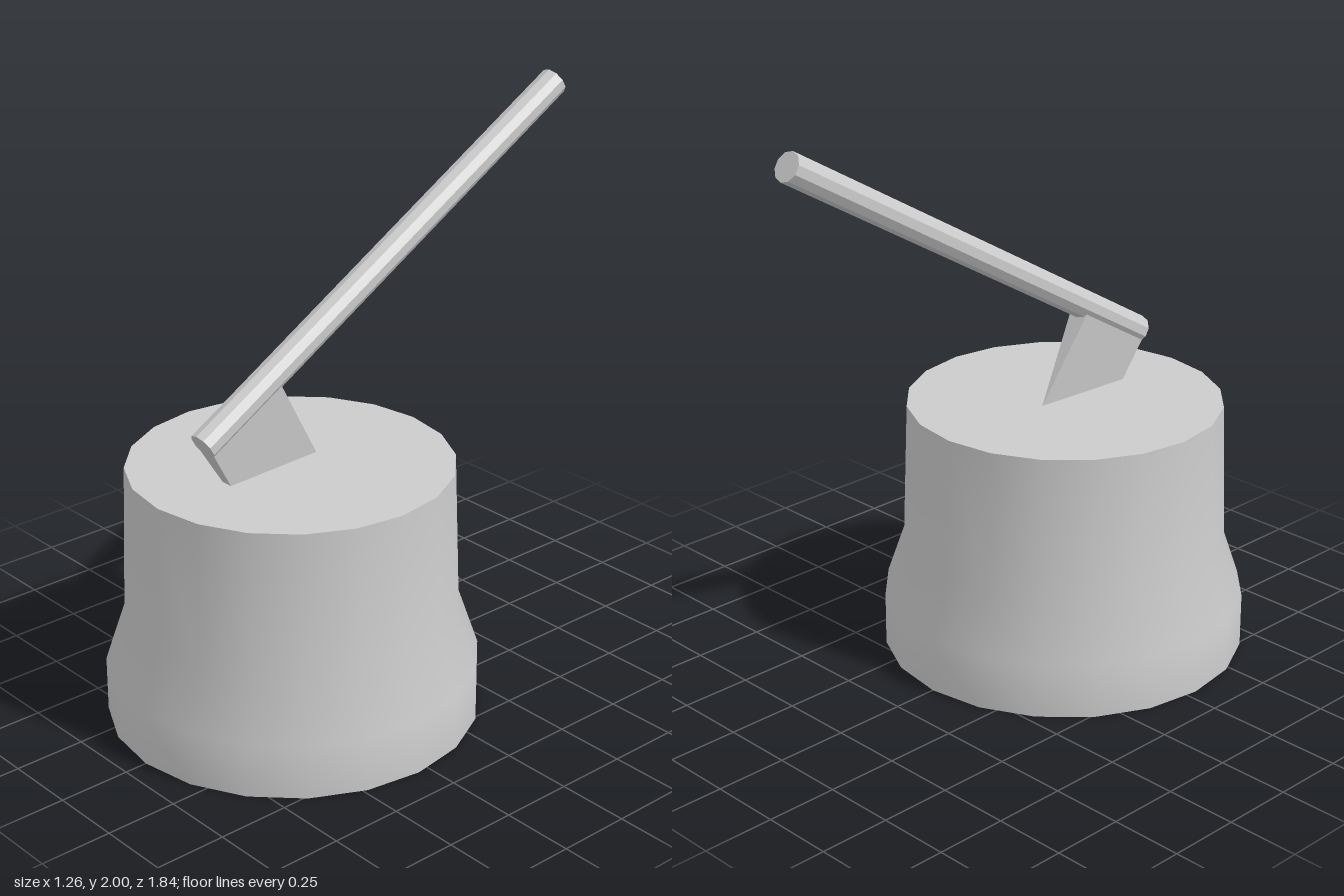
import * as THREE from 'three';

export function createModel() {
  const model = new THREE.Group();
  const smooth = new THREE.MeshStandardMaterial({ color: 0xcccccc, side: THREE.DoubleSide });
  const flat = new THREE.MeshStandardMaterial({ color: 0xcccccc, flatShading: true });

  const add = (parent, name, geometry, material) => {
    const mesh = new THREE.Mesh(geometry, material);
    mesh.name = name;
    parent.add(mesh);
    return mesh;
  };

  // Chopping block: flared, hollow shell with an open underside and a flat top
  const block = new THREE.Group();
  block.name = 'choppingBlock';
  block.position.z = 0.29;
  model.add(block);
  const profile = [[0.63, 0], [0.63, 0.19], [0.562, 0.39], [0.545, 0.893]]
    .map(([r, y]) => new THREE.Vector2(r, y));
  add(block, 'blockSide', new THREE.LatheGeometry(profile, 20), smooth);
  const top = new THREE.CircleGeometry(0.545, 20).rotateX(-Math.PI / 2);
  add(block, 'blockTop', top, smooth).position.y = 0.893;

  // Axe: local y runs up the handle, local -z points to the cutting edge
  const axe = new THREE.Group();
  axe.name = 'axe';
  axe.position.set(0, 1.05, 0.65);
  axe.rotation.x = THREE.MathUtils.degToRad(-59.6);
  model.add(axe);
  const length = 1.79;
  add(axe, 'axeHandle', new THREE.CylinderGeometry(0.05, 0.05, length, 10), flat)
    .position.y = length / 2;

  // Wedge-shaped head, its front sunk into the block
  const wedge = new THREE.Shape([
    new THREE.Vector2(-0.04, 0), new THREE.Vector2(0.04, 0), new THREE.Vector2(0, 0.38),
  ]);
  const head = new THREE.ExtrudeGeometry(wedge, { depth: 0.325, bevelEnabled: false });
  add(axe, 'axeHead', head.rotateX(-Math.PI / 2), flat);

  return model;
}
